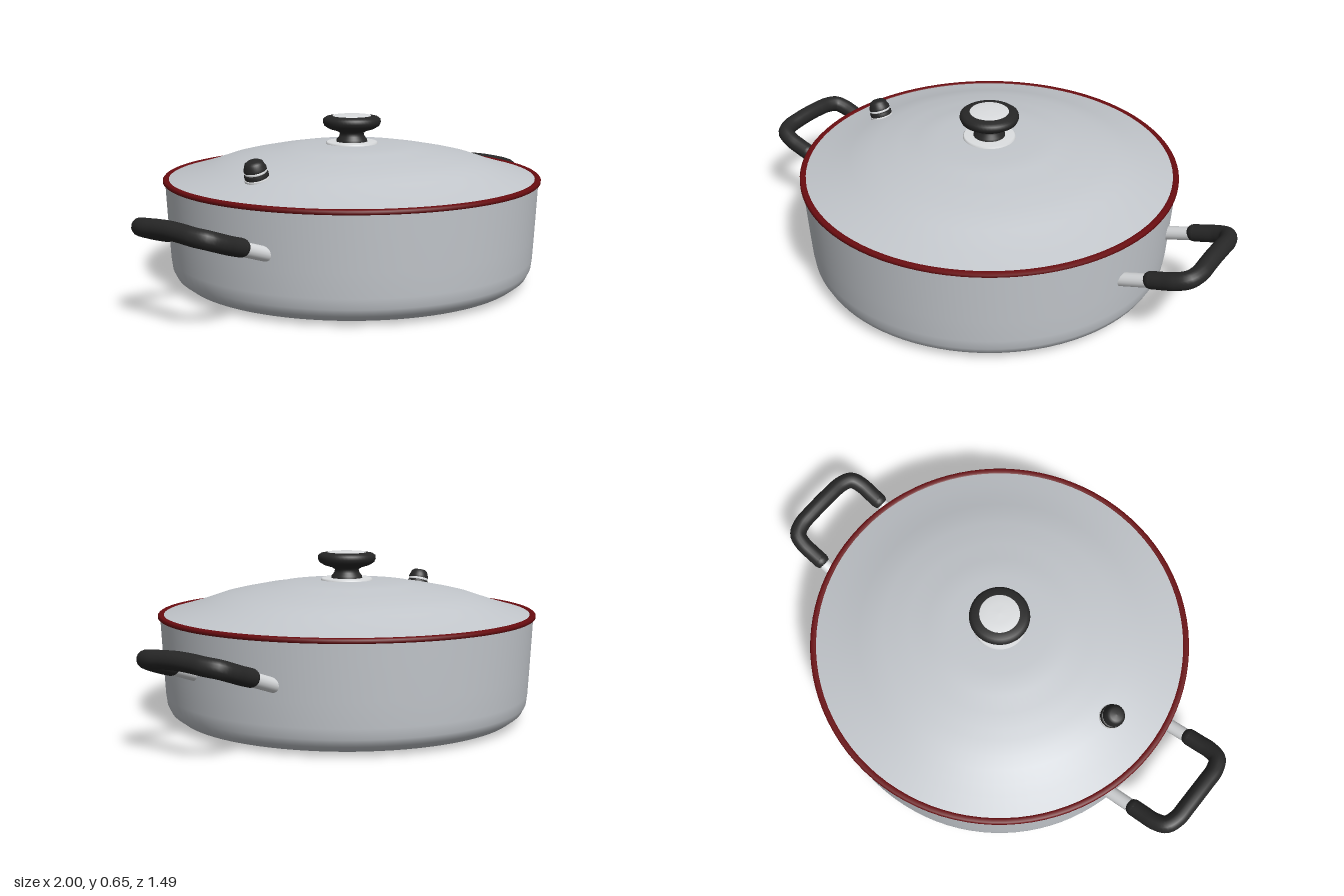
import * as THREE from 'three';

const steel = new THREE.MeshStandardMaterial({ name: 'steel', color: 0xc3c7cc });
const brightSteel = new THREE.MeshStandardMaterial({ name: 'brightSteel', color: 0xdcdee0 });
const darkRed = new THREE.MeshStandardMaterial({ name: 'darkRed', color: 0x6a0c10 });
const black = new THREE.MeshStandardMaterial({ name: 'black', color: 0x272727 });

function add(parent, name, geometry, material) {
  const mesh = new THREE.Mesh(geometry, material);
  mesh.name = name;
  parent.add(mesh);
  return mesh;
}

// Surface of revolution from [radius, height] pairs
function turned(parent, name, profile, material, segments = 48) {
  const points = profile.map(([r, y]) => new THREE.Vector2(r, y));
  return add(parent, name, new THREE.LatheGeometry(points, segments), material);
}

// Round bar between two points
function bar(parent, name, a, b, radius, material) {
  const path = new THREE.LineCurve3(a, b);
  return add(parent, name, new THREE.TubeGeometry(path, 1, radius, 16), material);
}

// Bent grip on two steel studs, built on the +x side
function makeHandle(name) {
  const handle = new THREE.Group();
  handle.name = name;
  const half = [
    [0.815, 0.297, 0.18], [0.86, 0.311, 0.18], [0.905, 0.327, 0.179],
    [0.947, 0.343, 0.164], [0.965, 0.350, 0.12], [0.967, 0.355, 0.06],
  ];
  const other = half.map(([x, y, z]) => [x, y, -z]).reverse();
  const points = [...half, [0.967, 0.357, 0], ...other].map((p) => new THREE.Vector3(...p));
  const curve = new THREE.CatmullRomCurve3(points, false, 'centripetal');
  add(handle, 'grip', new THREE.TubeGeometry(curve, 64, 0.033, 16), black);
  for (const z of [-0.18, 0.18]) {
    const end = add(handle, 'gripEnd', new THREE.SphereGeometry(0.033, 16, 12), black);
    end.position.set(0.815, 0.297, z);
    bar(handle, 'stud', new THREE.Vector3(0.69, 0.25, z), new THREE.Vector3(0.82, 0.295, z), 0.026, brightSteel);
  }
  return handle;
}

export function createModel() {
  const model = new THREE.Group();
  model.name = 'lidded pan';

  // Pan body with flat base, rounded lower edge and inner wall
  turned(model, 'base', [[0, 0.004], [0.59, 0.004]], steel, 96);
  turned(model, 'body', [
    [0.59, 0.004], [0.63, 0.008], [0.67, 0.019], [0.7, 0.042], [0.714, 0.07],
    [0.719, 0.11], [0.724, 0.2], [0.73, 0.32], [0.734, 0.405],
  ], steel, 96);
  turned(model, 'innerWall', [[0.72, 0.405], [0.705, 0.1], [0.66, 0.03], [0, 0.02]], steel, 64);

  // Lid with shallow stepped rings
  turned(model, 'lid', [
    [0.73, 0.416], [0.7, 0.424], [0.65, 0.438], [0.6, 0.453], [0.55, 0.47], [0.5, 0.487],
    [0.45, 0.499], [0.4, 0.509], [0.35, 0.519], [0.28, 0.528], [0.265, 0.533],
    [0.2, 0.54], [0.1, 0.543], [0, 0.544],
  ], steel, 96);

  // Coloured lid rim
  turned(model, 'rim', [
    [0.715, 0.404], [0.738, 0.404], [0.743, 0.408], [0.743, 0.417], [0.738, 0.422],
    [0.724, 0.422], [0.719, 0.418],
  ], darkRed, 96);

  // Central knob
  turned(model, 'knobPlate', [[0.103, 0.538], [0.103, 0.546], [0.098, 0.551], [0, 0.551]], brightSteel);
  turned(model, 'knob', [
    [0.062, 0.55], [0.06, 0.56], [0.05, 0.572], [0.047, 0.585], [0.06, 0.593], [0.09, 0.602],
    [0.109, 0.614], [0.115, 0.628], [0.113, 0.641], [0.102, 0.649], [0.08, 0.652], [0.07, 0.652],
  ], black);
  turned(model, 'knobCap', [[0.077, 0.651], [0.074, 0.654], [0.04, 0.656], [0, 0.657]], brightSteel);

  // Steam vent, leaning with the lid slope
  const vent = new THREE.Group();
  vent.name = 'steamVent';
  turned(vent, 'ventBase', [[0.047, -0.02], [0.047, 0.012], [0.044, 0.017], [0.03, 0.017]], brightSteel, 32);
  turned(vent, 'ventCollar', [[0.044, 0.016], [0.045, 0.03], [0.04, 0.035], [0.03, 0.035]], black, 32);
  turned(vent, 'ventBand', [[0.04, 0.034], [0.042, 0.045], [0.03, 0.045]], brightSteel, 32);
  turned(vent, 'ventCap', [
    [0.042, 0.044], [0.042, 0.053], [0.037, 0.062], [0.034, 0.073], [0.024, 0.08], [0, 0.082],
  ], black, 32);
  vent.position.set(-0.54, 0.462, 0);
  vent.rotation.z = 0.28;
  model.add(vent);

  // Side handles
  const left = makeHandle('leftHandle');
  const right = makeHandle('rightHandle');
  right.rotation.y = Math.PI;
  model.add(left, right);

  return model;
}
